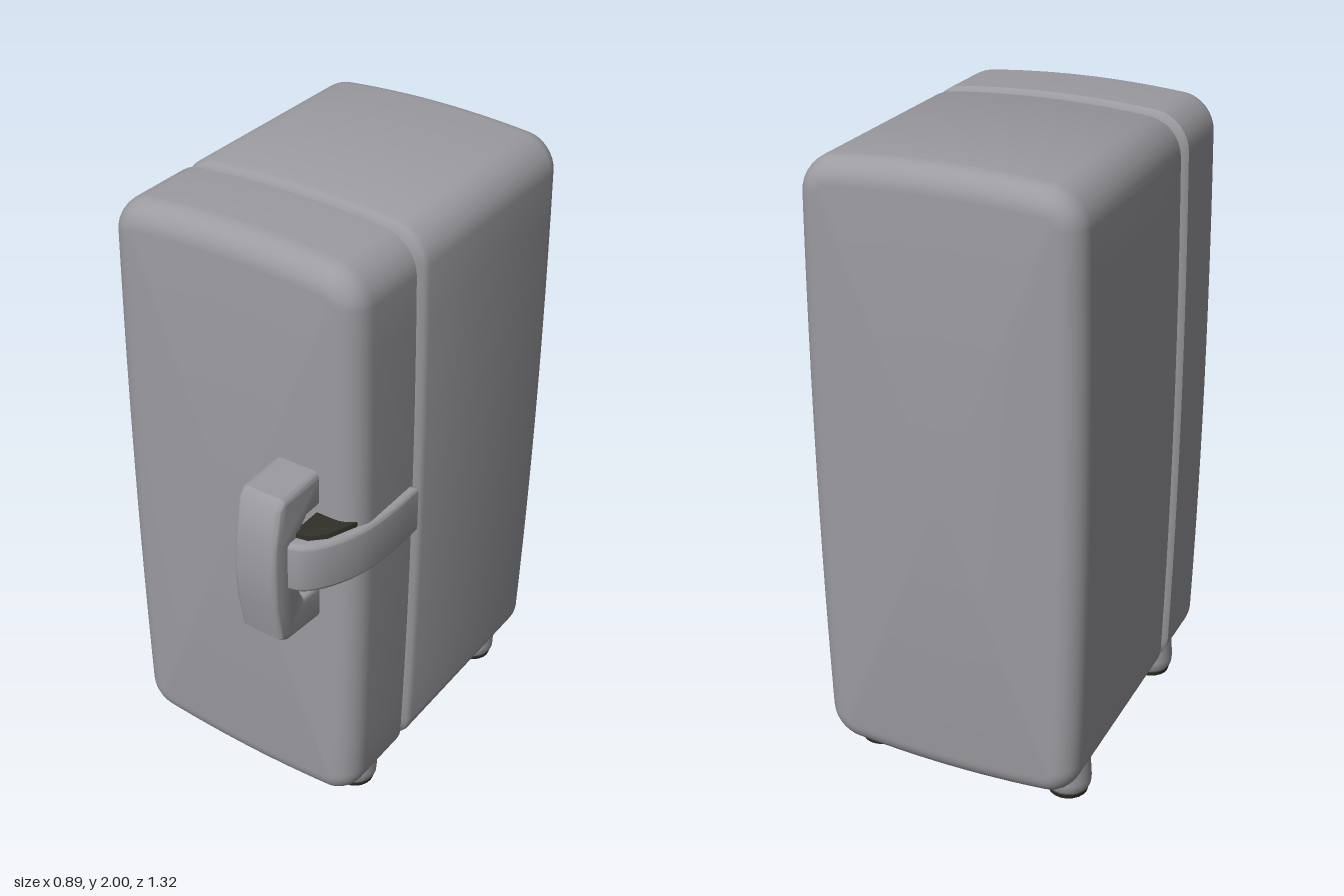
import * as THREE from 'three';
import { toCreasedNormals } from 'three/addons/utils/BufferGeometryUtils.js';

const CX = -0.015, CY = 1.027, A = 0.42, B = 0.945, R = 0.1;

// Rounded rectangle with an outward normal per point, counter-clockwise
function outline() {
  const pts = [], corners = [[1, -1], [1, 1], [-1, 1], [-1, -1]];
  const at = (c, t) => {
    const ang = (c - 1 + t) * Math.PI / 2, n = [Math.cos(ang), Math.sin(ang)];
    return { x: corners[c][0] * (A - R) + R * n[0], y: corners[c][1] * (B - R) + R * n[1], n };
  };
  for (let c = 0; c < 4; c++) {
    for (let i = 0; i <= 8; i++) pts.push(at(c, i / 8));
    const p = at(c, 1), q = at((c + 1) % 4, 0);
    for (let i = 1; i < 12; i++) {
      const t = i / 12;
      pts.push({ x: p.x + (q.x - p.x) * t, y: p.y + (q.y - p.y) * t, n: p.n });
    }
  }
  return pts;
}

// Bulging shell lofted through [z, inset] steps from back to front, closed by shallow domes
function shell(profile, domeBack, domeFront) {
  const ring = outline(), n = ring.length, pos = [], idx = [];
  for (const [z, d] of profile) {
    for (const p of ring) {
      const x = p.x - p.n[0] * d, y = p.y - p.n[1] * d;
      pos.push(CX + x * (1 + 0.035 * (1 - (y / B) ** 2)), CY + y * (1 + 0.029 * (1 - (x / A) ** 2)), z);
    }
  }
  const m = profile.length;
  for (let i = 0; i < m - 1; i++) {
    for (let j = 0; j < n; j++) {
      const a = i * n + j, b = i * n + (j + 1) % n, c = b + n, d = a + n;
      idx.push(a, b, c, a, c, d);
    }
  }
  pos.push(CX, CY, profile[0][0] - domeBack, CX, CY, profile[m - 1][0] + domeFront);
  for (let j = 0; j < n; j++) {
    const k = (j + 1) % n, f = (m - 1) * n;
    idx.push(m * n, k, j, m * n + 1, f + j, f + k);
  }
  const g = new THREE.BufferGeometry();
  g.setAttribute('position', new THREE.Float32BufferAttribute(pos, 3));
  g.setIndex(idx);
  return toCreasedNormals(g, 0.7);
}

// Quarter-round edge steps running from the flat end (t = 0) to the side (t = 1)
const edge = (z, dir, r, steps = 8) => Array.from({ length: steps + 1 }, (_, i) => {
  const t = i / steps * Math.PI / 2;
  return [z + dir * r * (1 - Math.cos(t)), r * (1 - Math.sin(t))];
});

function extrude(points, depth, bevel) {
  const s = new THREE.Shape(points.map(([x, y]) => new THREE.Vector2(x, y)));
  const g = new THREE.ExtrudeGeometry(s, {
    depth: depth - 2 * bevel, bevelSize: bevel, bevelThickness: bevel, bevelOffset: -bevel, bevelSegments: 4,
  });
  g.translate(0, 0, -depth / 2 + bevel);
  return g;
}

export function createModel() {
  const group = new THREE.Group();
  const grey = new THREE.MeshStandardMaterial({ name: 'grey enamel', color: 0x9b9ba0 });
  const dark = new THREE.MeshStandardMaterial({ name: 'dark rubber', color: 0x303028 });
  const add = (name, geo, mat, x = 0, y = 0, z = 0) => {
    const mesh = new THREE.Mesh(geo, mat);
    mesh.name = name;
    mesh.position.set(x, y, z);
    group.add(mesh);
    return mesh;
  };

  // Cabinet, door and the seal recessed between them
  add('cabinet', shell([...edge(-0.653, 1, 0.075), [0.09, 0], [0.108, 0.008], [0.122, 0.035]], 0.008, 0), grey);
  add('door', shell([[0.14, 0.035], [0.146, 0.012], [0.158, 0], ...edge(0.446, -1, 0.08).reverse()], 0, 0.005), grey);
  add('doorSeal', shell([[0.11, 0.06], [0.15, 0.06]], 0, 0), dark);

  // C-shaped pull handle, drawn in (z, y)
  const handle = extrude([
    [0.42, 0.812], [0.45, 0.812], [0.60, 0.828], [0.63, 0.85], [0.652, 0.97], [0.66, 1.08],
    [0.652, 1.19], [0.63, 1.31], [0.605, 1.338], [0.45, 1.342], [0.42, 1.342],
    [0.42, 1.222], [0.50, 1.222], [0.53, 1.19], [0.545, 1.08], [0.53, 0.96], [0.515, 0.935], [0.42, 0.935],
  ], 0.15, 0.02);
  handle.rotateY(-Math.PI / 2);
  add('handle', toCreasedNormals(handle, 0.6), grey, 0.215);

  // Curved latch strap wrapping the door edge, drawn in (x, z)
  const outer = new THREE.CatmullRomCurve3([
    [0.442, 0.16], [0.442, 0.28], [0.422, 0.43], [0.375, 0.535], [0.33, 0.585], [0.275, 0.604],
  ].map(([x, z]) => new THREE.Vector3(x, z, 0))).getPoints(20).map((p) => [p.x, p.y]);
  const inner = [[0.275, 0.545], [0.315, 0.53], [0.35, 0.49], [0.38, 0.42], [0.4, 0.28], [0.4, 0.16]];
  const strap = extrude([...outer, ...inner], 0.165, 0.016);
  strap.rotateX(Math.PI / 2);
  add('latchStrap', toCreasedNormals(strap, 0.6), grey, 0, 1.1, 0);

  // Dark latch block filling the space behind the strap
  const block = extrude([
    [0.41, 0.17], [0.418, 0.28], [0.4, 0.42], [0.365, 0.51], [0.325, 0.55], [0.28, 0.56], [0.28, 0.42], [0.36, 0.17],
  ], 0.19, 0.004);
  block.rotateX(Math.PI / 2);
  add('latchBlock', toCreasedNormals(block, 0.6), dark, 0, 1.105, 0);

  // Four short feet with rubber soles
  const leg = new THREE.LatheGeometry(
    [[0.06, 0.02], [0.071, 0.035], [0.073, 0.06], [0.068, 0.14]].map(([x, y]) => new THREE.Vector2(x, y)), 20);
  const sole = new THREE.LatheGeometry(
    [[0, 0], [0.05, 0], [0.062, 0.008], [0.066, 0.022], [0.05, 0.024]].map(([x, y]) => new THREE.Vector2(x, y)), 20);
  for (const [name, x, z] of [
    ['frontLeft', 0.3, 0.26], ['frontRight', -0.355, 0.225], ['backLeft', 0.3, -0.49], ['backRight', -0.355, -0.49],
  ]) {
    add(name + 'Foot', leg, grey, x, 0, z);
    add(name + 'Sole', toCreasedNormals(sole, 0.6), dark, x, 0, z);
  }
  return group;
}
